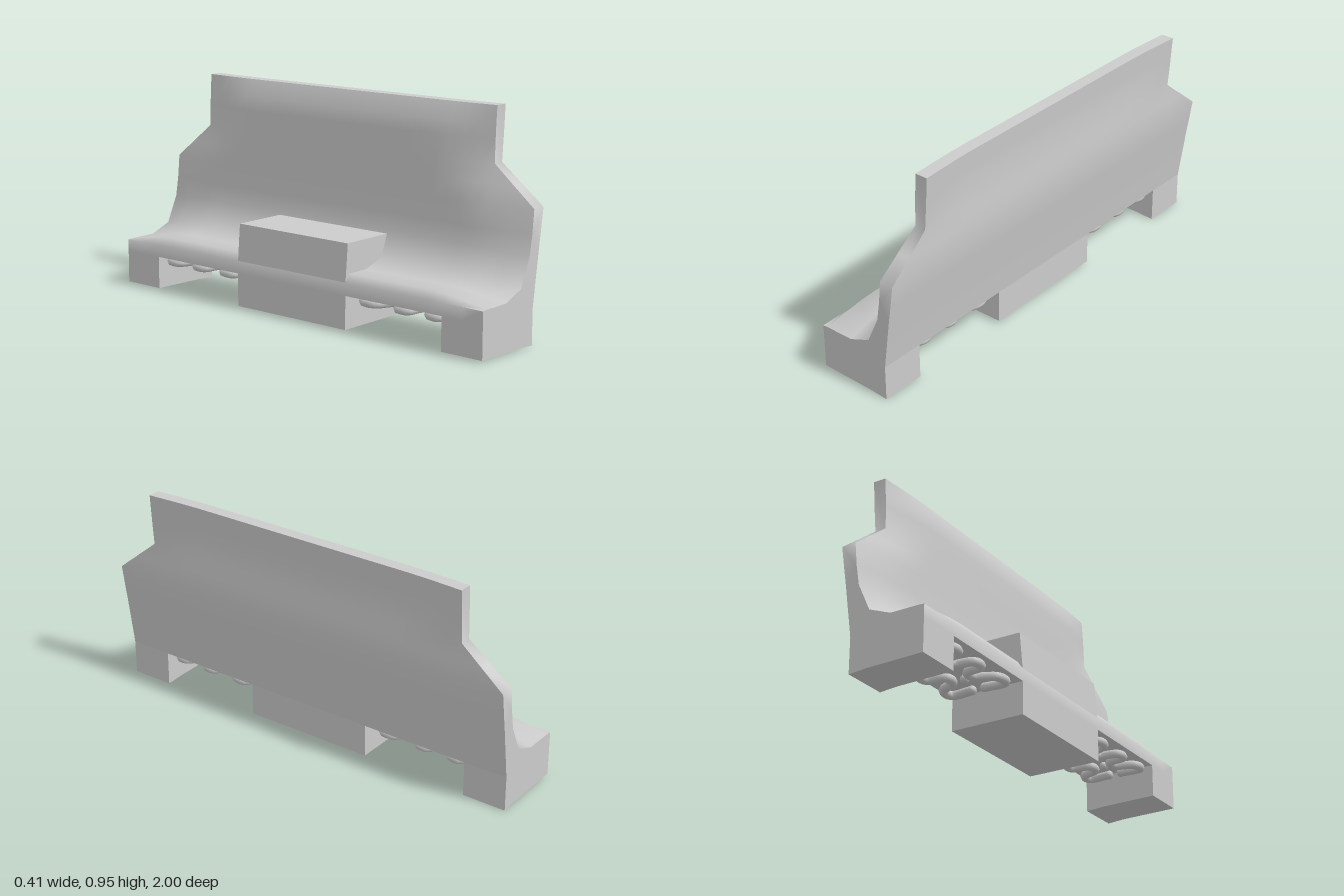
import * as THREE from 'three';
import { toCreasedNormals } from 'three/addons/utils/BufferGeometryUtils.js';

const material = new THREE.MeshStandardMaterial({ color: 0xcccccc });

// Seat and backrest profile [x, y], from seat edge to top: mid-bench and at the side edges
const MID = [[-0.205, 0.21], [-0.18, 0.245], [-0.07, 0.245], [0.03, 0.28], [0.07, 0.385], [0.078, 0.46],
  [0.083, 0.56], [0.087, 0.64], [0.09, 0.72], [0.095, 0.82], [0.1, 0.88], [0.135, 0.955]];
const EDGE = [[-0.205, 0.208], [-0.18, 0.21], [-0.05, 0.21], [0.05, 0.25], [0.105, 0.37], [0.12, 0.46],
  [0.13, 0.56], [0.133, 0.64], [0.137, 0.72], [0.14, 0.82], [0.143, 0.88], [0.148, 0.955]];
// Rear face, from top to bottom
const REAR = [[0.205, 0.955], [0.2, 0.88], [0.196, 0.82], [0.188, 0.72], [0.192, 0.64], [0.195, 0.56],
  [0.18, 0.46], [0.168, 0.385]];
const UNDER = 0.155;

// Half-width of the bench at height y
function halfWidth(y) {
  return 1 - 0.2 * THREE.MathUtils.clamp((y - 0.56) / 0.16, 0, 1);
}

// 0 in the middle, rising to 1 at the side edge
function edgeBlend(y, z) {
  return Math.pow(THREE.MathUtils.clamp(1 - (halfWidth(y) - Math.abs(z)) / 0.27, 0, 1), 1.5);
}

// Closed cross-section at z, cut off at profile point number "top"
function section(z, top) {
  const front = MID.map((m, i) => {
    const k = Math.min(i, top);
    const t = edgeBlend(MID[k][1], z);
    return new THREE.Vector3(
      THREE.MathUtils.lerp(MID[k][0], EDGE[k][0], t),
      THREE.MathUtils.lerp(MID[k][1], EDGE[k][1], t), z);
  });
  const rear = REAR.map((p, i) => {
    const [x, y] = REAR[Math.max(i, 11 - top)];
    const inset = y > 0.75 ? 0.013 * (1 - edgeBlend(y, z)) : 0;
    return new THREE.Vector3(x - inset, y, z);
  });
  return [new THREE.Vector3(-0.205, UNDER, z), ...front, ...rear, new THREE.Vector3(0.135, UNDER, z)];
}

function shellGeometry() {
  // [z, top point]; the doubled station makes the shoulder step
  const half = [[0, 11], [0.2, 11], [0.4, 11], [0.53, 11], [0.6, 11], [0.67, 11], [0.73, 11], [0.8, 11],
    [0.8, 8], [0.9, 7], [1, 6]];
  const stations = [...half.slice(1).reverse().map(([z, t]) => [-z, t]), ...half];
  const rings = stations.map(([z, t]) => section(z, t));
  const pos = [];
  const triangle = (a, b, c) => {
    const area = b.clone().sub(a).cross(c.clone().sub(a)).length();
    if (area > 1e-8) pos.push(...a.toArray(), ...b.toArray(), ...c.toArray());
  };
  for (let k = 0; k < rings.length - 1; k++) {
    const A = rings[k], B = rings[k + 1], n = A.length;
    for (let i = 0; i < n; i++) {
      const j = (i + 1) % n;
      triangle(A[i], B[i], B[j]);
      triangle(A[i], B[j], A[j]);
    }
  }
  // Flat ends
  for (const end of [0, rings.length - 1]) {
    const ring = rings[end].filter((p, i, r) => i === 0 || p.distanceTo(r[i - 1]) > 1e-6).reverse();
    const faces = THREE.ShapeUtils.triangulateShape(ring.map(p => new THREE.Vector2(p.x, p.y)), []);
    for (const [a, b, c] of faces) {
      if (end) triangle(ring[a], ring[b], ring[c]);
      else triangle(ring[c], ring[b], ring[a]);
    }
  }
  const geometry = new THREE.BufferGeometry();
  geometry.setAttribute('position', new THREE.Float32BufferAttribute(pos, 3));
  return toCreasedNormals(geometry, 1.0);
}

// Prism with an x-y outline between two z values
function prism(points, z0, z1) {
  const shape = new THREE.Shape(points.map(p => new THREE.Vector2(...p)));
  return new THREE.ExtrudeGeometry(shape, { depth: z1 - z0, bevelEnabled: false }).translate(0, 0, z0);
}

export function createModel() {
  const group = new THREE.Group();
  const add = (name, geometry) => {
    const mesh = new THREE.Mesh(geometry, material);
    mesh.name = name;
    group.add(mesh);
    return mesh;
  };

  add('seatAndBackrest', shellGeometry());

  // Feet
  const endFoot = [[-0.205, 0.01], [0.05, 0.006], [0.135, 0], [0.135, UNDER], [-0.205, UNDER]];
  add('footFront', prism(endFoot, 0.8, 1));
  add('footBack', prism(endFoot, -1, -0.8));
  add('middleFoot', prism([[-0.205, 0.01], [0.135, 0.01], [0.135, UNDER], [-0.205, UNDER]], -0.305, 0.305));

  // Armrest block between the two seats
  add('armrest', prism([[-0.205, 0.2], [0.1, 0.2], [0.1, 0.374], [-0.19, 0.374]], -0.305, 0.305));

  // Bent heating pipes and studs under each seat
  for (const side of [-1, 1]) {
    for (const row of [-1, 1]) {
      const path = [[0.03, 0.37], [0.13, 0.37], [0.13, 0.43], [0.05, 0.48], [0.05, 0.53], [0.13, 0.55],
        [0.13, 0.6], [0.05, 0.62], [0.05, 0.67], [0.13, 0.71], [0.13, 0.76], [0.03, 0.76]];
      const curve = new THREE.CatmullRomCurve3(
        path.map(([x, z]) => new THREE.Vector3(-0.035 + row * x, 0.135, side * z)), false, 'centripetal');
      add('underseatPipe', new THREE.TubeGeometry(curve, 60, 0.02, 8));
      for (const z of [0.37, 0.76]) {
        add('pipeEnd', new THREE.SphereGeometry(0.02, 8, 6)).position.set(-0.035 + row * 0.03, 0.135, side * z);
      }
    }
    for (const z of [0.47, 0.66]) {
      add('underseatStud', new THREE.SphereGeometry(0.02, 8, 6)).position.set(-0.035, 0.14, side * z);
    }
  }
  return group;
}
